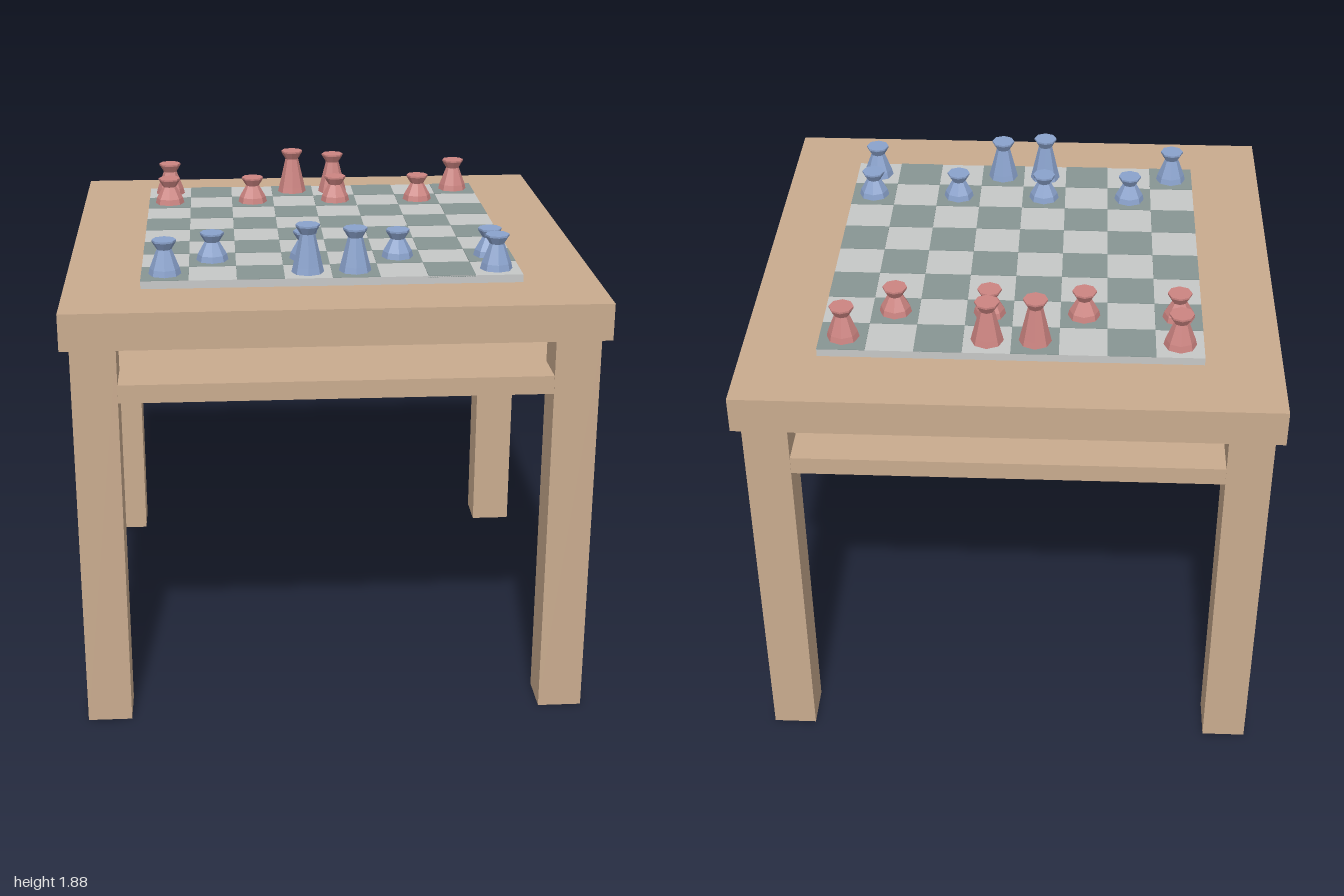
import * as THREE from 'three';

const mat = (name, color) => {
  const m = new THREE.MeshStandardMaterial({ color, flatShading: true });
  m.name = name;
  return m;
};

export function createModel() {
  const wood = mat('wood', 0xc9ab8e);
  const light = mat('light square', 0xc6c8c7);
  const dark = mat('dark square', 0x889694);
  const blue = mat('blue piece', 0x8aa2cc);
  const red = mat('red piece', 0xcc8481);

  const model = new THREE.Group();
  model.name = 'chessTable';

  // Box spanning y0..y1, centred on x, z
  const box = (name, w, y0, y1, x, z, material, parent = model) => {
    const mesh = new THREE.Mesh(new THREE.BoxGeometry(w, y1 - y0, w), material);
    mesh.position.set(x, (y0 + y1) / 2, z);
    mesh.name = name;
    parent.add(mesh);
  };

  // Table: top, lower shelf flush with the legs, four legs
  box('tableTop', 2, 1.53, 1.67, 0, 0, wood);
  box('shelf', 1.93, 1.315, 1.385, 0, 0, wood);
  for (const sx of [-1, 1])
    for (const sz of [-1, 1]) box('leg', 0.168, 0, 1.53, sx * 0.883, sz * 0.883, wood);

  // Board with thin dark squares
  const cell = 0.1785;
  const at = (i) => (i - 3.5) * cell;
  const board = new THREE.Group();
  board.name = 'board';
  model.add(board);
  box('boardBase', cell * 8, 1.67, 1.7, 0, 0, light, board);
  for (let row = 0; row < 8; row++)
    for (let col = 0; col < 8; col++)
      if ((row + col) % 2) box('darkSquare', cell, 1.695, 1.702, at(col), at(row), dark, board);

  // Eight-sided pieces: tapered body, narrow neck, flared cap
  const pieceGeometry = (h) => new THREE.LatheGeometry([
    [0, 0], [0.062, 0], [0.056, 0.025], [0.028, h - 0.036], [0.046, h - 0.007], [0.046, h], [0, h],
  ].map(([r, y]) => new THREE.Vector2(r, y)), 8);
  const shapes = {
    pawn: pieceGeometry(0.11),
    rook: pieceGeometry(0.134),
    queen: pieceGeometry(0.168),
    king: pieceGeometry(0.184),
  };
  const addPiece = (kind, col, row, material) => {
    const piece = new THREE.Mesh(shapes[kind], material);
    piece.name = kind;
    piece.position.set(at(col), 1.7, at(row));
    model.add(piece);
  };
  const backRank = [['rook', 0], ['king', 3], ['queen', 4], ['rook', 7]];
  for (const [kind, col] of backRank) {
    addPiece(kind, col, 0, red);
    addPiece(kind, col, 7, blue);
  }
  for (const col of [0, 2, 4, 6]) addPiece('pawn', col, 1, red);
  for (const col of [1, 3, 5, 7]) addPiece('pawn', col, 6, blue);

  return model;
}
